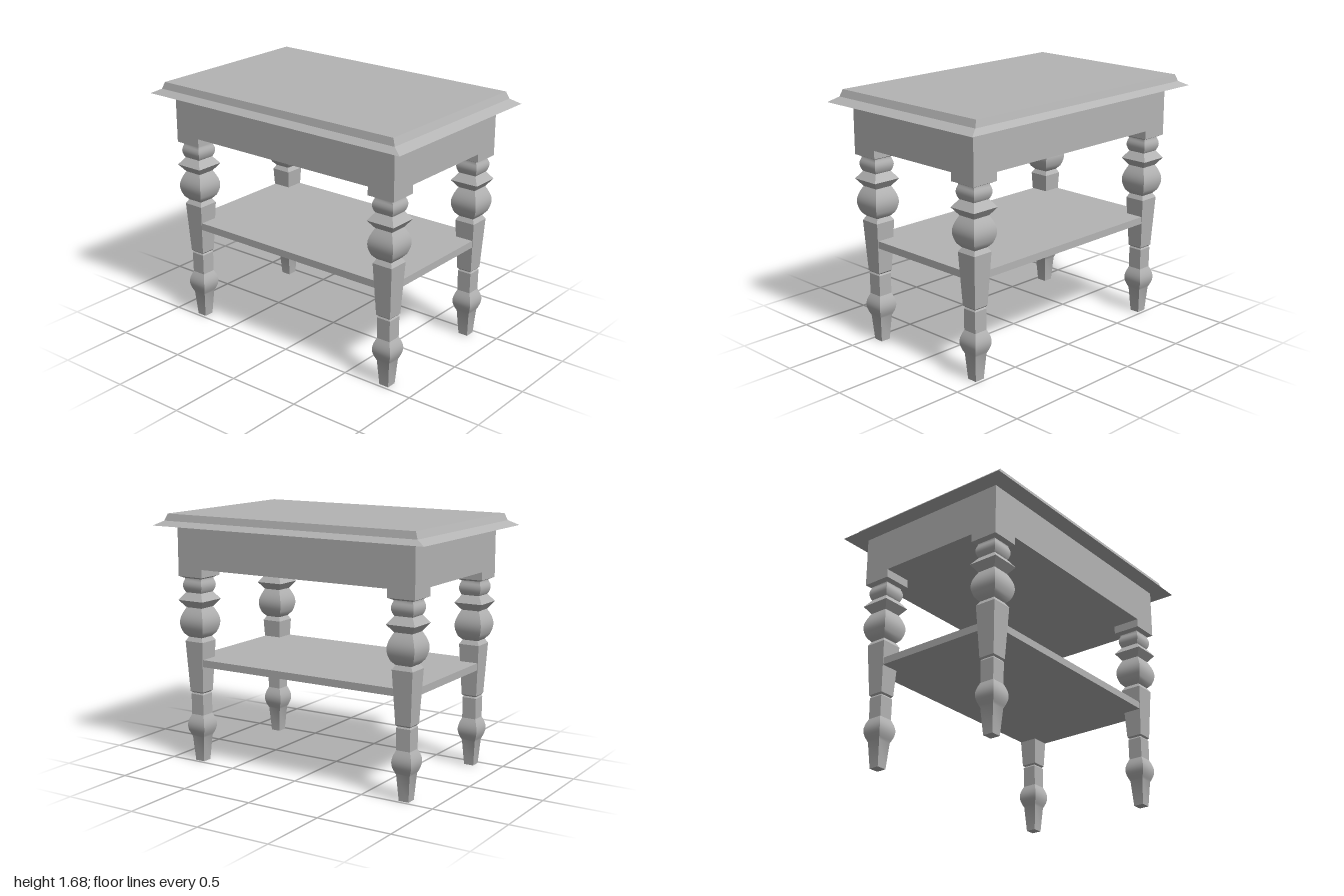
import * as THREE from 'three';
import { toCreasedNormals } from 'three/addons/utils/BufferGeometryUtils.js';

// Square-section turning: profile of [halfWidth, y], bottom to top
function squareTurning(profile) {
  const points = profile.map(([r, y]) => new THREE.Vector2(r * Math.SQRT2, y));
  return toCreasedNormals(new THREE.LatheGeometry(points, 4, Math.PI / 4), 0.4);
}

// Rounded swelling between two profile points
function bulge(r0, y0, r1, y1, swell, steps = 10) {
  const out = [];
  for (let i = 0; i <= steps; i++) {
    const t = i / steps;
    out.push([r0 + (r1 - r0) * t + swell * Math.sin(Math.PI * t), y0 + (y1 - y0) * t]);
  }
  return out;
}

export function createModel() {
  const group = new THREE.Group();
  const grey = new THREE.MeshStandardMaterial({ color: 0xb4b4b4 });
  grey.name = 'plain grey';

  const add = (name, geometry, x = 0, y = 0, z = 0) => {
    const mesh = new THREE.Mesh(geometry, grey);
    mesh.name = name;
    mesh.position.set(x, y, z);
    group.add(mesh);
    return mesh;
  };

  // Bevelled top, a stepped square stretched to a rectangle
  const top = squareTurning([[0, 1.602], [1, 1.602], [0.935, 1.634], [0.916, 1.68], [0, 1.68]]);
  top.scale(0.653, 1, 1);
  add('tableTop', top);

  // Apron and lower shelf
  add('apron', new THREE.BoxGeometry(1.08, 0.282, 1.77), 0, 1.461, 0);
  add('shelf', new THREE.BoxGeometry(1.01, 0.048, 1.7), 0, 0.687, 0);

  // Turned leg
  const leg = squareTurning([
    [0, 0], [0.034, 0],
    ...bulge(0.047, 0.17, 0.048, 0.325, 0.022),
    [0.049, 0.465], [0.043, 0.475], [0.053, 0.485],
    [0.071, 0.828], [0.054, 0.856],
    ...bulge(0.068, 0.862, 0.062, 1.056, 0.03).slice(1),
    [0.099, 1.106], [0.062, 1.156],
    ...bulge(0.066, 1.162, 0.066, 1.245, 0.011, 6),
    [0.066, 1.252], [0.095, 1.266], [0, 1.266],
  ]);
  const block = new THREE.BoxGeometry(0.19, 0.055, 0.19);
  for (const z of [1, -1]) {
    for (const x of [1, -1]) {
      const name = (z > 0 ? 'front' : 'back') + (x > 0 ? 'Left' : 'Right');
      add(name + 'Leg', leg, x * 0.445, 0, z * 0.79);
      add(name + 'CornerBlock', block, x * 0.445, 1.2925, z * 0.79);
    }
  }
  return group;
}
